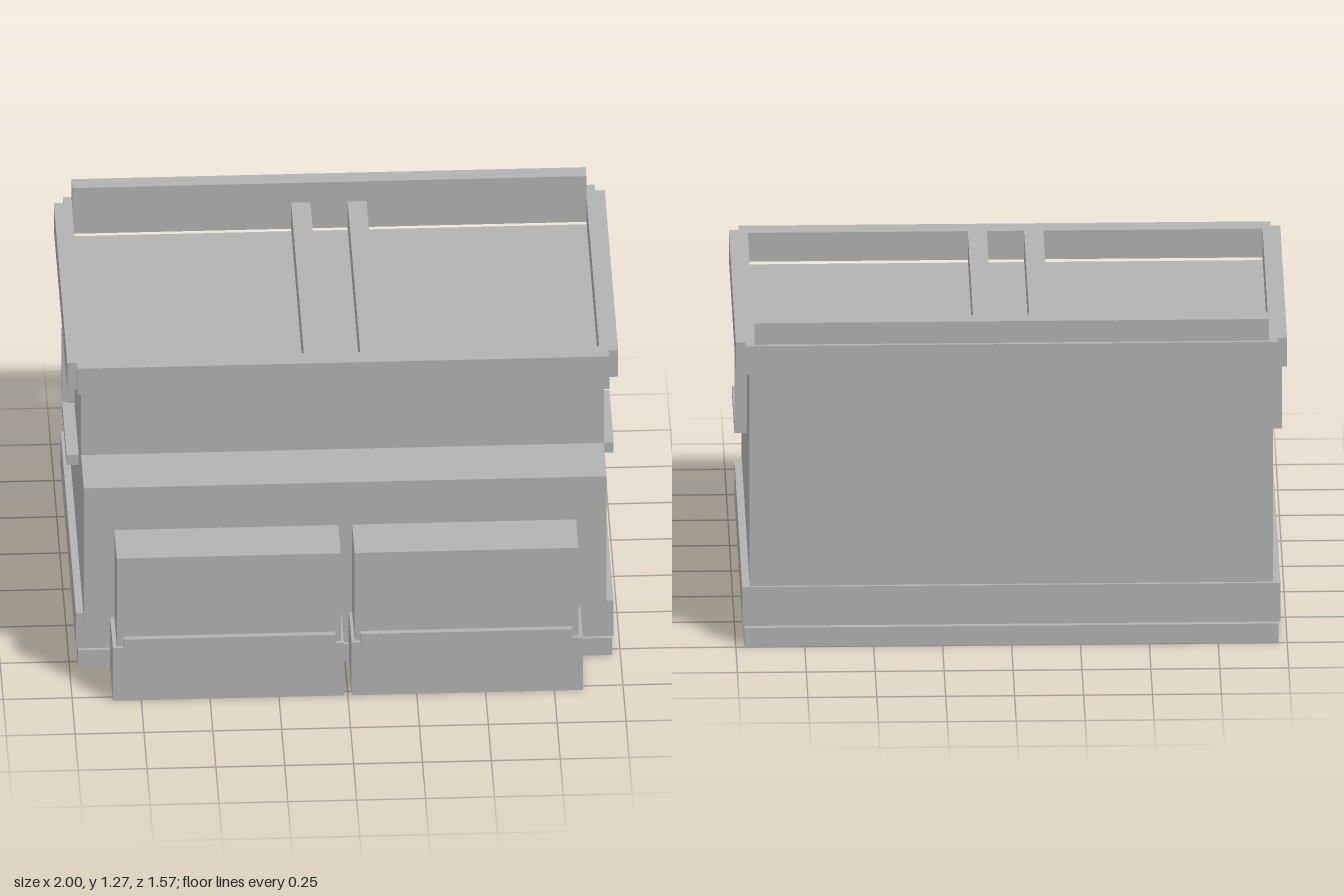
import * as THREE from 'three';

export function createModel() {
  const model = new THREE.Group();
  model.name = 'chestBench';
  const grey = new THREE.MeshStandardMaterial({ color: 0xb2b2b2 });
  grey.name = 'plain grey';

  const add = (name, geometry) => {
    const mesh = new THREE.Mesh(geometry, grey);
    mesh.name = name;
    model.add(mesh);
    return mesh;
  };
  // Box given by its limits on each axis
  const block = (name, [x0, x1], [y0, y1], [z0, z1]) => {
    const mesh = add(name, new THREE.BoxGeometry(x1 - x0, y1 - y0, z1 - z0));
    mesh.position.set((x0 + x1) / 2, (y0 + y1) / 2, (z0 + z1) / 2);
    return mesh;
  };
  const mirrored = (s, a, b) => (s > 0 ? [a, b] : [-b, -a]);
  const toShape = (pts) => new THREE.Shape(pts.map(([a, b]) => new THREE.Vector2(a, b)));
  // Side profile of (z, y) points, extruded across x
  const profile = (name, pts, halfWidth) => {
    const g = new THREE.ExtrudeGeometry(toShape(pts), { depth: halfWidth * 2, bevelEnabled: false });
    g.translate(0, 0, -halfWidth);
    g.rotateY(-Math.PI / 2);
    return add(name, g);
  };

  // Stepped body
  profile('body', [[-0.714, 0.212], [0.566, 0.212], [0.566, 0.778], [0.336, 0.778],
    [0.336, 1.062], [-0.714, 1.062]], 0.949);

  // Plinth, with a channel running under it
  block('plinth', [-0.976, 0.976], [0.073, 0.224], [-0.726, 0.528]);
  profile('foot', [[-0.746, 0], [-0.328, 0], [-0.328, 0.043], [0.108, 0.043],
    [0.108, 0], [0.541, 0], [0.541, 0.073], [-0.746, 0.073]], 0.969);

  for (const s of [1, -1]) {
    const side = s > 0 ? 'left' : 'right';
    // Front compartments
    block(side + 'FrontBox', mirrored(s, 0.025, 0.838), [0.2, 0.597], [0.53, 0.762]);
    block(side + 'FrontBoxBase', mirrored(s, 0.014, 0.853), [0, 0.224], [0.528, 0.777]);
    block(side + 'FrontBoxLip', mirrored(s, 0.045, 0.815), [0.222, 0.264], [0.75, 0.784]);
    // L-shaped side handle
    block(side + 'HandleBar', mirrored(s, 0.945, 0.993), [0.622, 0.664], [-0.212, 0.15]);
    block(side + 'HandlePost', mirrored(s, 0.945, 0.993), [0.667, 0.96], [-0.256, -0.214]);
  }

  // Lid frame with notched corners and three openings
  const frame = toShape([[-0.965, -0.402], [0.965, -0.402], [0.965, -0.362], [1, -0.362],
    [1, 0.744], [0.965, 0.744], [0.965, 0.784], [-0.965, 0.784],
    [-0.965, 0.744], [-1, 0.744], [-1, -0.362], [-0.965, -0.362]]);
  for (const [a, b] of [[-0.935, -0.14], [-0.07, 0.065], [0.134, 0.932]]) {
    frame.holes.push(toShape([[a, -0.33], [a, 0.71], [b, 0.71], [b, -0.33]]));
  }
  const frameGeometry = new THREE.ExtrudeGeometry(frame, { depth: 0.112, bevelEnabled: false });
  frameGeometry.rotateX(-Math.PI / 2);
  add('lidFrame', frameGeometry).position.y = 1.075;

  // Raised rail along the back
  block('backRail', [-0.934, 0.932], [1.18, 1.271], [-0.77, -0.708]);

  return model;
}
